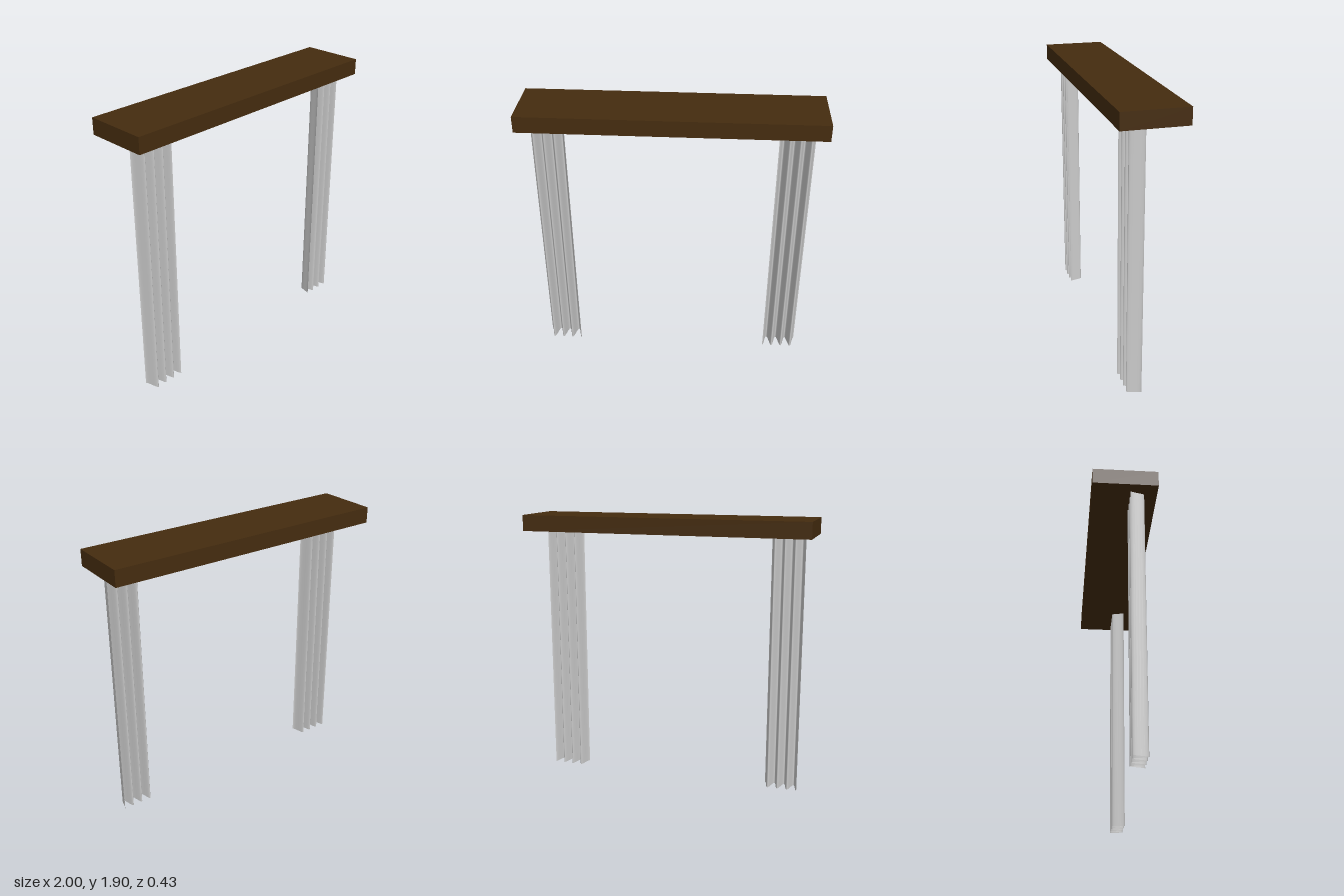
import * as THREE from 'three';

const TOP = 1.905, DROP = 1.795; // top of the pelmet, height of the curtains

// Pleated sheet from x = inner to x = outer, folded along a cosine wave in z
function pleatedSheet(inner, outer) {
  const halfFolds = 7, steps = halfFolds * 8;
  const geometry = new THREE.PlaneGeometry(1, DROP, steps, 1);
  const pos = geometry.attributes.position;
  for (let i = 0; i < pos.count; i++) {
    const u = pos.getX(i) + 0.5;
    const t = inner < outer ? u : 1 - u; // keeps the front towards +z on both sides
    pos.setX(i, THREE.MathUtils.lerp(inner, outer, t));
    pos.setY(i, pos.getY(i) + DROP / 2);
    pos.setZ(i, 0.083 + 0.047 * Math.cos(t * halfFolds * Math.PI));
  }
  geometry.computeVertexNormals();
  return geometry;
}

export function createModel() {
  const model = new THREE.Group();
  model.name = 'curtains';

  const wood = new THREE.MeshStandardMaterial({ color: 0x452c0f });
  const cloth = new THREE.MeshStandardMaterial({ color: 0xcccccc, side: THREE.DoubleSide });

  // Wooden box above the window
  const pelmet = new THREE.Mesh(new THREE.BoxGeometry(2, TOP - DROP, 0.428), wood);
  pelmet.name = 'pelmet';
  pelmet.position.y = (TOP + DROP) / 2;
  model.add(pelmet);

  // Pair of drawn-back curtains, mirrored about x = 0
  for (const [name, side] of [['leftCurtain', 1], ['rightCurtain', -1]]) {
    const curtain = new THREE.Mesh(pleatedSheet(0.69 * side, 0.932 * side), cloth);
    curtain.name = name;
    model.add(curtain);
  }
  return model;
}
